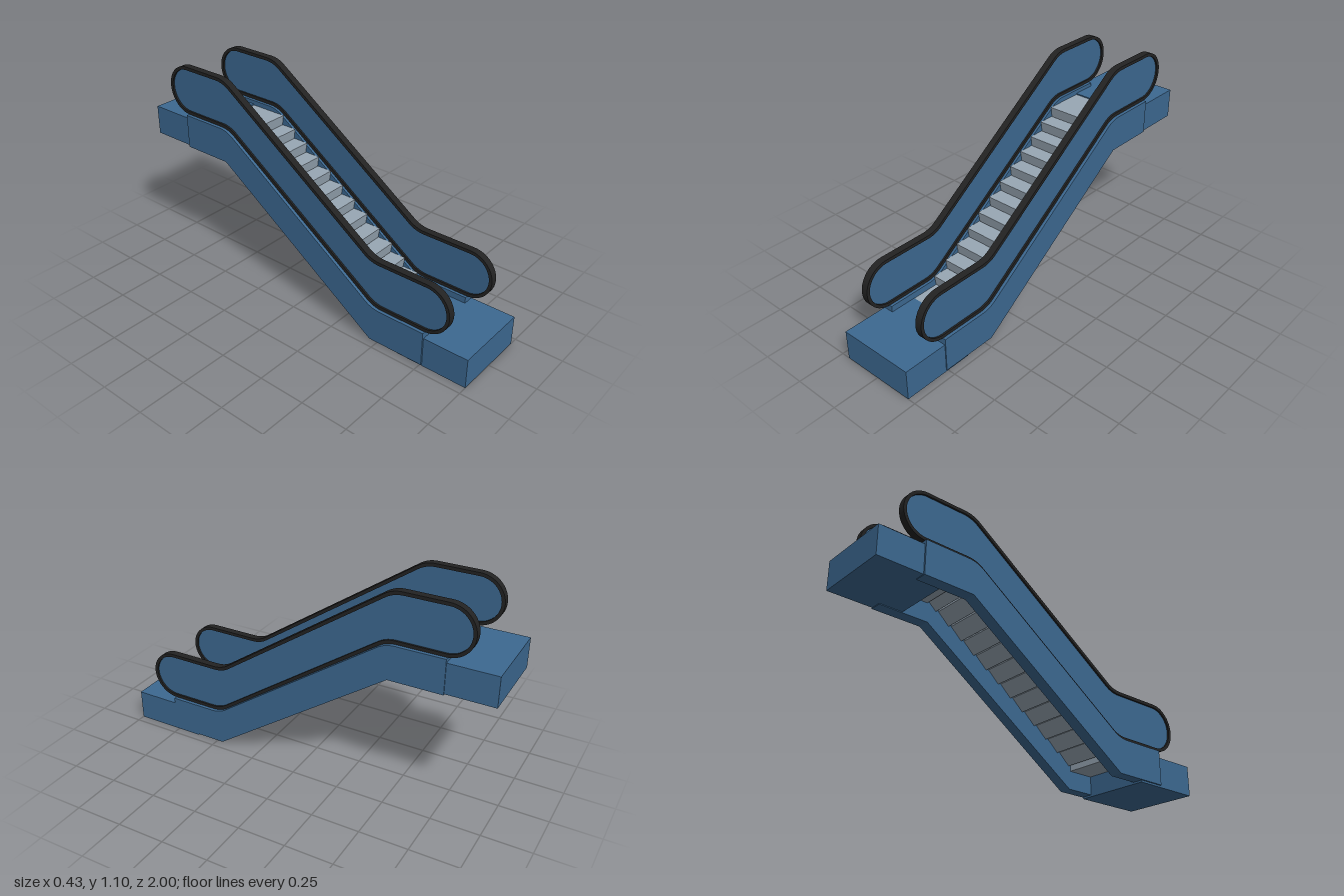
import * as THREE from 'three';

const blue = new THREE.MeshStandardMaterial({ name: 'blue paint', color: 0x3c6890 });
const black = new THREE.MeshStandardMaterial({ name: 'black rubber', color: 0x222222 });
const grey = new THREE.MeshStandardMaterial({ name: 'step grey', color: 0x98a7b4 });

const SLOPE = 0.694;                        // rise per unit of run
const LEAN = Math.hypot(1, SLOPE);          // vertical shift for a unit of inset

// Side profile (z, y) extruded across x, centred on x
function extrudeSide(name, shape, width, x, material) {
  const g = new THREE.ExtrudeGeometry(shape, { depth: width, bevelEnabled: false, curveSegments: 16 });
  g.translate(0, 0, -width / 2).rotateY(-Math.PI / 2).translate(x, 0, 0);
  const mesh = new THREE.Mesh(g, material);
  mesh.name = name;
  return mesh;
}

// Rounded bend where a flat run at height y meets the sloped line of height c at z = 0
function bend(path, y, c, fromFront, r = 0.05) {
  const z = (c - y) / SLOPE;
  const flatEnd = (s) => [z + s * r, y];
  const slopeEnd = (s) => [z + s * r * 0.8, y - s * r * 0.8 * SLOPE];
  const lower = y < 0.6;                    // flat run lies in front of the lower bend
  const flat = flatEnd(lower ? 1 : -1), slope = slopeEnd(lower ? -1 : 1);
  const [a, b] = lower === fromFront ? [flat, slope] : [slope, flat];
  path.lineTo(...a);
  path.quadraticCurveTo(z, y, ...b);
}

// Closed balustrade outline with round ends, inset by d
function balustradeOutline(path, d) {
  const r = 0.13 - d, lowY = 0.325, highY = 0.972, frontZ = 0.757, backZ = -0.747;
  const top = 0.767 - d * LEAN, bottom = 0.52 + d * LEAN;
  path.moveTo(frontZ, lowY - r);
  path.absarc(frontZ, lowY, r, -Math.PI / 2, Math.PI / 2, false);
  bend(path, lowY + r, top, true);
  bend(path, highY + r, top, true);
  path.absarc(backZ, highY, r, Math.PI / 2, Math.PI * 1.5, false);
  bend(path, highY - r, bottom, false);
  bend(path, lowY - r, bottom, false);
  path.closePath();
  return path;
}

function trussShape() {
  const s = new THREE.Shape();
  s.moveTo(0.762, 0.01);
  s.lineTo(0.762, 0.193);
  bend(s, 0.193, 0.518, true);
  bend(s, 0.84, 0.518, true);
  s.lineTo(-0.755, 0.84);
  s.lineTo(-0.755, 0.66);
  s.lineTo(-0.48, 0.66);
  s.lineTo(0.46, 0.01);
  s.closePath();
  return s;
}

function box(name, w, h, d, x, y, z, material) {
  const mesh = new THREE.Mesh(new THREE.BoxGeometry(w, h, d), material);
  mesh.name = name;
  mesh.position.set(x, y, z);
  return mesh;
}

export function createModel() {
  const model = new THREE.Group();
  model.name = 'escalator';

  // Landings at both ends
  model.add(box('lowerLanding', 0.412, 0.16, 0.38, 0.002, 0.08, 0.81, blue));
  model.add(box('upperLanding', 0.412, 0.156, 0.375, 0.002, 0.742, -0.8125, blue));

  // Trusses, glass-like panels and handrails, mirrored
  for (const [label, side] of [['left', 1], ['right', -1]]) {
    const half = new THREE.Group();
    half.name = label + 'Side';
    half.add(extrudeSide('truss', trussShape(), 0.064, side * 0.181, blue));
    const panel = balustradeOutline(new THREE.Shape(), 0.012);
    half.add(extrudeSide('balustradePanel', panel, 0.018, side * 0.18, blue));
    const rail = balustradeOutline(new THREE.Shape(), 0);
    rail.holes.push(balustradeOutline(new THREE.Path(), 0.017));
    half.add(extrudeSide('handrail', rail, 0.037, side * 0.18, black));
    model.add(half);
  }

  // Wedge-shaped steps
  const steps = new THREE.Group();
  steps.name = 'steps';
  const run = 0.081, rise = 0.0545, count = 12, width = 0.3;
  for (let i = 0; i < count; i++) {
    const z = 0.48 - i * run, y = 0.16 + (i + 1) * rise;
    const wedge = new THREE.Shape([
      [z, y], [z - run - 0.006, y], [z - run - 0.006, y - 0.02],
      [z - 0.022, y - 0.08], [z - 0.008, y - rise],
    ].map(([a, b]) => new THREE.Vector2(a, b)));
    steps.add(extrudeSide('step', wedge, width, 0, grey));
  }
  // Level steps beside the landings
  steps.add(box('lowerLevelStep', width, 0.05, 0.16, 0, 0.133, 0.55, grey));
  steps.add(box('upperLevelStep', width, 0.05, 0.15, 0, 0.789, -0.56, grey));
  model.add(steps);

  return model;
}
